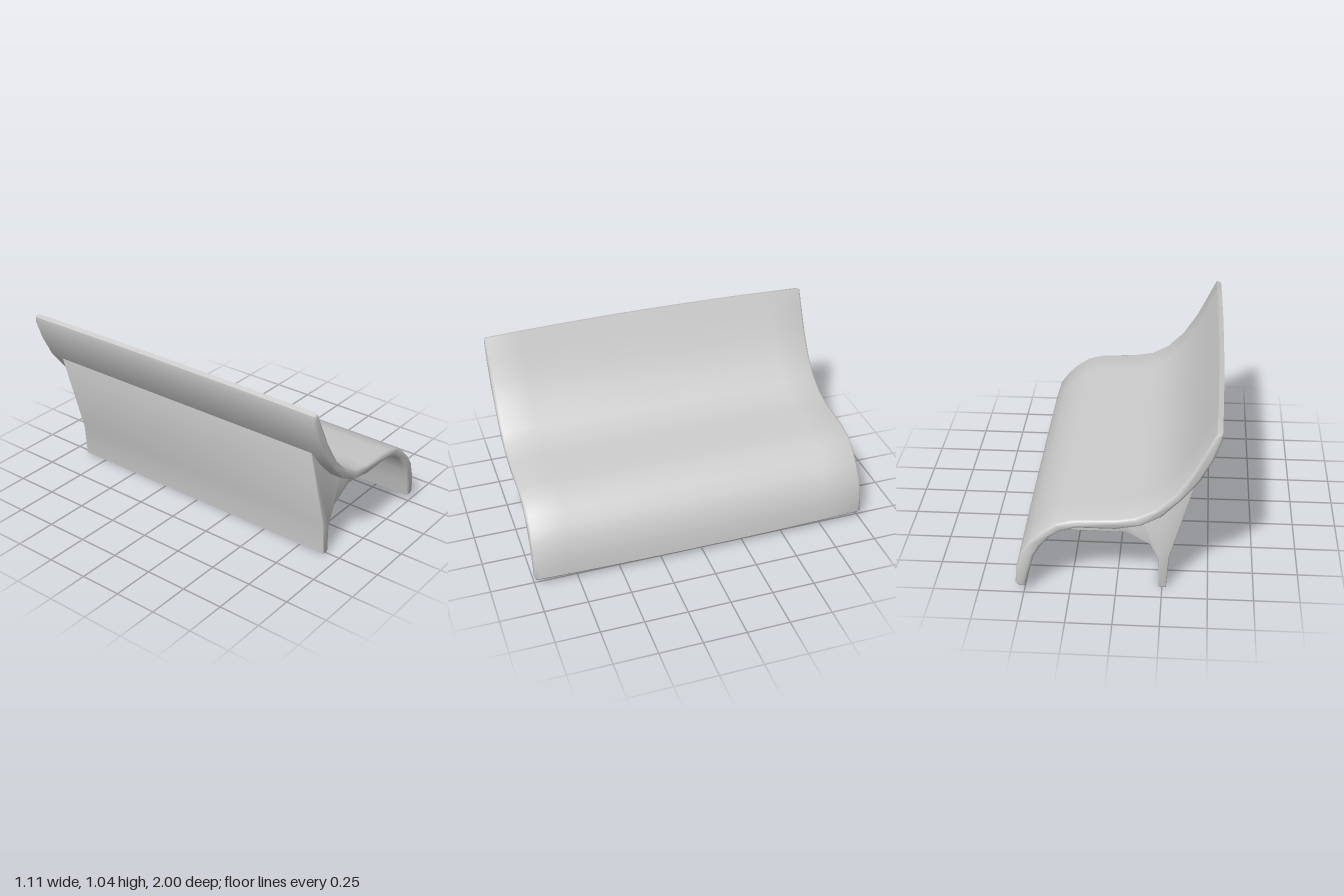
import * as THREE from 'three';
import { toCreasedNormals } from 'three/addons/utils/BufferGeometryUtils.js';

const material = new THREE.MeshStandardMaterial({ color: 0xcccccc });

// Extrude an outline along z, centred, with softened end edges inside the outline.
function extrudeAlongZ(points, length, bevel, steps) {
  const shape = new THREE.Shape(points.map(([x, y]) => new THREE.Vector2(x, y)));
  const geometry = new THREE.ExtrudeGeometry(shape, {
    depth: length - 2 * bevel, steps,
    bevelEnabled: true, bevelThickness: bevel, bevelSize: bevel, bevelOffset: -bevel, bevelSegments: 2,
  });
  return geometry.translate(0, 0, -length / 2 + bevel);
}

function addPart(group, name, geometry, crease) {
  const mesh = new THREE.Mesh(toCreasedNormals(geometry, crease), material);
  mesh.name = name;
  group.add(mesh);
}

export function createModel() {
  const group = new THREE.Group();
  group.name = 'bench';

  // Curved sheet: backrest, seat and front apron in one sweep
  const upper = [
    [-0.53, 1.045], [-0.47, 0.925], [-0.405, 0.8], [-0.315, 0.66], [-0.215, 0.56], [-0.11, 0.505], [0, 0.485],
    [0.22, 0.475], [0.315, 0.45], [0.395, 0.395], [0.455, 0.335], [0.505, 0.265], [0.543, 0.15], [0.555, 0.05],
  ];
  const lower = [
    [0.537, 0.03], [0.503, 0.03], [0.475, 0.13], [0.44, 0.235], [0.4, 0.305], [0.355, 0.36], [0.29, 0.405],
    [0.205, 0.43], [0, 0.43], [-0.135, 0.455], [-0.245, 0.515], [-0.345, 0.62], [-0.44, 0.74],
    [-0.51, 0.875], [-0.558, 1.0], [-0.558, 1.035],
  ];
  const sheet = extrudeAlongZ([...upper, ...lower].reverse(), 2, 0.015, 10);

  // The two long edges bow outwards slightly towards the middle
  const pos = sheet.attributes.position;
  for (let i = 0; i < pos.count; i++) {
    const x = pos.getX(i), y = pos.getY(i), z = pos.getZ(i);
    const top = THREE.MathUtils.smoothstep(y, 0.8, 1) * z * z;
    const bottom = (1 - THREE.MathUtils.smoothstep(y, 0.04, 0.25)) * z * z;
    pos.setXY(i, x + 0.012 * top - 0.01 * bottom, y - 0.014 * top + 0.008 * bottom);
  }
  addPart(group, 'seatShell', sheet, 0.8);

  // Rear leg panel that flares up into the seat and backrest
  const support = [
    [-0.272, 0], [-0.23, 0], [-0.23, 0.18], [-0.183, 0.28], [-0.05, 0.355], [0.335, 0.357], [0.37, 0.345],
    [0.375, 0.37], [0.29, 0.425], [0.2, 0.45], [0, 0.455], [-0.13, 0.48], [-0.24, 0.54],
    [-0.34, 0.645], [-0.42, 0.755], [-0.433, 0.73], [-0.287, 0.2],
  ];
  addPart(group, 'supportLeg', extrudeAlongZ(support, 1.82, 0.005, 1), 0.8);

  return group;
}
